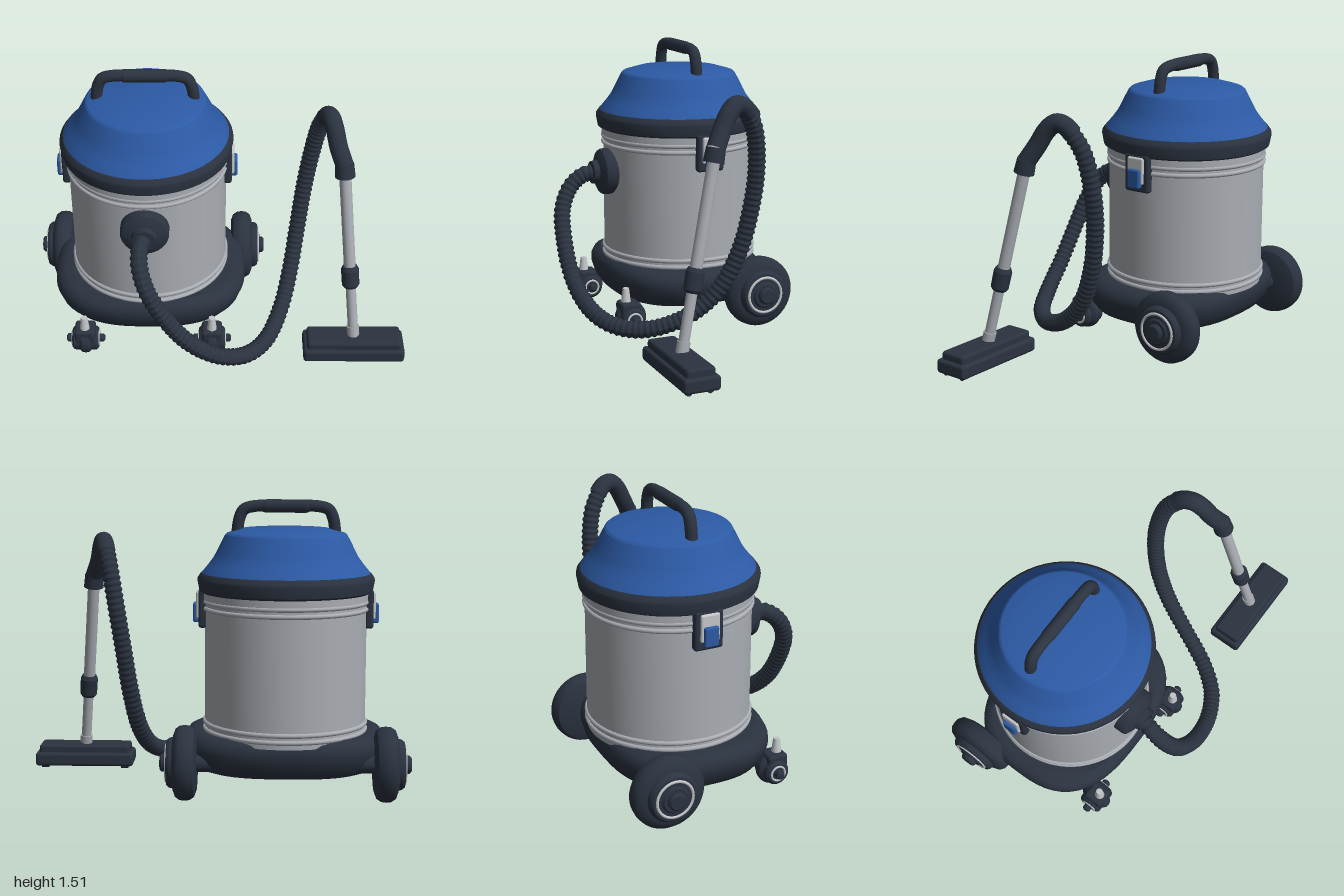
import * as THREE from 'three';
import { toCreasedNormals } from 'three/addons/utils/BufferGeometryUtils.js';
import { RoundedBoxGeometry } from 'three/addons/geometries/RoundedBoxGeometry.js';

const mat = (name, color) => {
  const m = new THREE.MeshStandardMaterial({ color });
  m.name = name;
  return m;
};
const V = (x, y, z) => new THREE.Vector3(x, y, z);

export function createModel() {
  const dark = mat('charcoal plastic', 0x2b3340);
  const blue = mat('blue plastic', 0x2c5aa5);
  const steel = mat('brushed steel', 0xa9adb3);
  const light = mat('light grey', 0xc4c7ca);

  const model = new THREE.Group();
  model.name = 'vacuumCleaner';

  const add = (parent, name, geometry, material, x = 0, y = 0, z = 0) => {
    const m = new THREE.Mesh(geometry, material);
    m.name = name;
    m.position.set(x, y, z);
    parent.add(m);
    return m;
  };
  const group = (parent, name, x = 0, y = 0, z = 0) => {
    const g = new THREE.Group();
    g.name = name;
    g.position.set(x, y, z);
    parent.add(g);
    return g;
  };
  // Lathe from [radius, height] pairs, keeping hard edges sharp
  const lathe = (pts, seg = 48, crease = 0.6) =>
    toCreasedNormals(new THREE.LatheGeometry(pts.map(p => new THREE.Vector2(...p)), seg), crease);
  // Lathe whose axis points along +x
  const latheX = (pts, seg = 40) => lathe(pts, seg).rotateZ(-Math.PI / 2);
  const box = (w, h, d, r) => new RoundedBoxGeometry(w, h, d, 3, r);
  // Round rod between two points
  const rod = (parent, name, a, b, r0, r1, material) => {
    const m = add(parent, name, new THREE.CylinderGeometry(r1, r0, a.distanceTo(b), 24), material);
    m.position.copy(a).lerp(b, 0.5);
    m.quaternion.setFromUnitVectors(V(0, 1, 0), b.clone().sub(a).normalize());
  };

  const body = group(model, 'body', -0.37, 0, -0.15);

  // Base: a lathe pushed outward into a rounded rectangle
  const base = new THREE.LatheGeometry([
    [0, 0.13], [0.8, 0.13], [0.88, 0.145], [0.95, 0.19], [0.99, 0.25], [0.985, 0.285],
    [0.95, 0.315], [0.88, 0.333], [0.75, 0.325], [0, 0.32],
  ].map(p => new THREE.Vector2(...p)), 64);
  const bp = base.attributes.position;
  for (let i = 0; i < bp.count; i++) {
    const x = bp.getX(i), z = bp.getZ(i), r = Math.hypot(x, z), n = 2.7;
    if (r < 1e-6) continue; // centre points stay put
    const f = (Math.abs(x / r) ** n + Math.abs(z / r) ** n) ** (-1 / n);
    bp.setX(i, x * f * 0.525);
    bp.setZ(i, z * f * 0.43);
  }
  add(body, 'base', toCreasedNormals(base, 0.6), dark, 0, 0, 0.025);

  // Steel drum with rolled beads
  add(body, 'drum', lathe([[0, 0.3], [0.413, 0.3], [0.413, 1.05], [0, 1.05]], 64), steel);
  for (const y of [0.335, 0.37, 0.955, 0.99])
    add(body, 'drumBead', new THREE.TorusGeometry(0.413, 0.012, 10, 64).rotateX(Math.PI / 2), steel, 0, y);
  add(body, 'drumCollar', lathe([[0.41, 1.0], [0.422, 1.0], [0.422, 1.05], [0.41, 1.05]], 64), steel);

  // Lid and its rim
  add(body, 'lidRim', lathe([
    [0, 1.035], [0.425, 1.035], [0.442, 1.045], [0.452, 1.1], [0.45, 1.112], [0.433, 1.135], [0, 1.135],
  ], 64), dark);
  add(body, 'lid', lathe([
    [0.432, 1.13], [0.425, 1.142], [0.395, 1.178], [0.368, 1.215], [0.355, 1.24], [0.33, 1.29], [0.31, 1.328],
    [0.3, 1.337], [0.22, 1.36], [0, 1.36],
  ], 64, 0.35), blue);

  // Carrying handle
  const handle = group(body, 'carryHandle');
  const arch = new THREE.CatmullRomCurve3([
    V(-0.25, 1.33, 0), V(-0.238, 1.41, 0), V(-0.215, 1.455, 0), V(-0.165, 1.471, 0), V(-0.08, 1.474, 0),
    V(0.08, 1.474, 0), V(0.165, 1.471, 0), V(0.215, 1.455, 0), V(0.238, 1.41, 0), V(0.25, 1.33, 0),
  ]);
  add(handle, 'handleArch', new THREE.TubeGeometry(arch, 60, 0.03, 16), dark);
  add(handle, 'handleGrip', new THREE.CapsuleGeometry(0.034, 0.2, 6, 16).rotateZ(Math.PI / 2), dark, 0, 1.472);

  // Side latches, rear wheels and casters, one set per side
  for (const s of [1, -1]) {
    const latch = group(body, 'latch');
    add(latch, 'latchPlate', box(0.045, 0.2, 0.15, 0.015), dark, s * 0.422, 0.955);
    add(latch, 'latchClasp', box(0.04, 0.14, 0.1, 0.01), light, s * 0.437, 0.97);
    add(latch, 'latchButton', box(0.055, 0.1, 0.075, 0.01), blue, s * 0.447, 0.93);

    const wheel = group(body, 'rearWheel', s * 0.445, 0.195, -0.25);
    if (s < 0) wheel.rotation.y = Math.PI;
    add(wheel, 'tyre', latheX([
      [0, 0.0], [0.14, 0.0], [0.172, 0.012], [0.187, 0.035], [0.19, 0.06], [0.187, 0.085],
      [0.172, 0.106], [0.14, 0.118], [0, 0.118],
    ], 48), dark);
    add(wheel, 'wheelDisc', latheX([
      [0.13, 0.1], [0.127, 0.135], [0.115, 0.15], [0.07, 0.153], [0.062, 0.162], [0, 0.162],
    ]), dark);
    add(wheel, 'wheelRing', new THREE.TorusGeometry(0.094, 0.008, 8, 48).rotateY(Math.PI / 2), light, 0.15);
    add(wheel, 'wheelHub', latheX([[0.045, 0.15], [0.045, 0.177], [0.036, 0.186], [0, 0.186]], 24), dark);
    add(wheel, 'axle', latheX([[0.045, -0.15], [0.045, 0.01]], 20), dark);

    // Front casters
    const caster = group(body, 'frontCaster', s * 0.34, 0, 0.42);
    add(caster, 'casterStem', new THREE.CylinderGeometry(0.017, 0.028, 0.09, 20), light, 0, 0.2, 0.025);
    add(caster, 'casterFork', box(0.11, 0.08, 0.11, 0.018), dark, 0, 0.132, 0.01);
    add(caster, 'casterTyre', latheX([
      [0, -0.03], [0.07, -0.03], [0.082, -0.018], [0.085, 0], [0.082, 0.018], [0.07, 0.03], [0, 0.03],
    ], 28), dark, 0, 0.085);
    for (const t of [1, -1]) {
      const cap = group(caster, 'casterSide', 0, 0.08, 0);
      if (t < 0) cap.rotation.y = Math.PI;
      add(cap, 'casterCheek', latheX([[0.066, 0.03], [0.064, 0.06], [0.052, 0.07], [0, 0.07]], 28), dark);
      add(cap, 'casterRing', new THREE.TorusGeometry(0.038, 0.006, 8, 28).rotateY(Math.PI / 2), light, 0.07);
      add(cap, 'casterHub', latheX([[0.022, 0.06], [0.022, 0.095], [0.012, 0.103], [0, 0.103]], 20), dark);
    }
  }

  // Hose inlet on the drum front
  add(model, 'hoseInlet', lathe([
    [0.125, 0], [0.125, 0.065], [0.118, 0.078], [0.085, 0.095], [0.066, 0.1], [0.06, 0.13], [0, 0.13],
  ], 40).rotateX(Math.PI / 2), dark, -0.37, 0.81, 0.23);

  // Ribbed hose: a tube whose rings swell and shrink
  const path = new THREE.CatmullRomCurve3([
    V(-0.375, 0.81, 0.33), V(-0.39, 0.795, 0.4), V(-0.39, 0.74, 0.47), V(-0.355, 0.63, 0.53),
    V(-0.27, 0.47, 0.552), V(-0.145, 0.3, 0.55), V(0.01, 0.175, 0.515), V(0.15, 0.115, 0.44),
    V(0.26, 0.105, 0.31), V(0.345, 0.17, 0.12), V(0.395, 0.3, -0.035), V(0.43, 0.5, -0.14),
    V(0.463, 0.75, -0.195), V(0.495, 0.96, -0.205), V(0.528, 1.15, -0.175), V(0.558, 1.265, -0.11),
  ]);
  const ribs = 88, perRib = 4, rings = ribs * perRib, sides = 14;
  const hose = new THREE.TubeGeometry(path, rings, 0.043, sides);
  const hp = hose.attributes.position, p = V(0, 0, 0);
  for (let i = 0; i <= rings; i++) {
    const c = path.getPointAt(i / rings);
    const k = 1 + 0.09 * Math.cos((i / perRib) * Math.PI * 2);
    for (let j = 0; j <= sides; j++) {
      const n = i * (sides + 1) + j;
      p.fromBufferAttribute(hp, n).sub(c).multiplyScalar(k).add(c);
      hp.setXYZ(n, p.x, p.y, p.z);
    }
  }
  hose.computeVertexNormals();
  add(model, 'hose', hose, dark);

  // Wand: bent grip, two steel tubes and a coupling
  const wand = group(model, 'wand');
  const top = V(0.648, 1.04, 0.098), foot = V(0.728, 0.13, 0.297);
  const at = y => top.clone().lerp(foot, (top.y - y) / (top.y - foot.y));
  const bend = new THREE.CatmullRomCurve3([
    V(0.55, 1.235, -0.135), V(0.563, 1.275, -0.095), V(0.576, 1.286, -0.05), V(0.592, 1.25, -0.005),
    V(0.612, 1.17, 0.042), at(1.09),
  ]);
  add(wand, 'wandGrip', new THREE.TubeGeometry(bend, 40, 0.047, 20), dark);
  rod(wand, 'gripCuff', at(1.03), at(1.1), 0.052, 0.048, dark);
  rod(wand, 'upperTube', at(0.48), at(1.06), 0.031, 0.031, steel);
  rod(wand, 'coupling', at(0.43), at(0.515), 0.046, 0.047, dark);
  rod(wand, 'couplingTop', at(0.515), at(0.535), 0.047, 0.038, dark);
  rod(wand, 'couplingBottom', at(0.415), at(0.43), 0.036, 0.046, dark);
  rod(wand, 'lowerTube', at(0.13), at(0.45), 0.027, 0.027, steel);
  rod(wand, 'tubeEnd', at(0.12), at(0.185), 0.033, 0.033, steel);

  // Floor nozzle
  const nozzle = group(model, 'nozzle', 0.73, 0, 0.305);
  add(nozzle, 'nozzleBody', box(0.54, 0.075, 0.19, 0.018), dark, 0, 0.058);
  add(nozzle, 'nozzleTop', box(0.5, 0.06, 0.15, 0.016), dark, 0, 0.106);
  add(nozzle, 'nozzleNeck', new THREE.SphereGeometry(0.04, 20, 14), dark, 0, 0.115, -0.01);
  for (const x of [-0.22, 0.22]) for (const z of [-0.05, 0.06])
    add(nozzle, 'nozzleRoller', new THREE.CylinderGeometry(0.018, 0.018, 0.04, 16).rotateZ(Math.PI / 2), dark, x, 0.022, z);

  return model;
}
